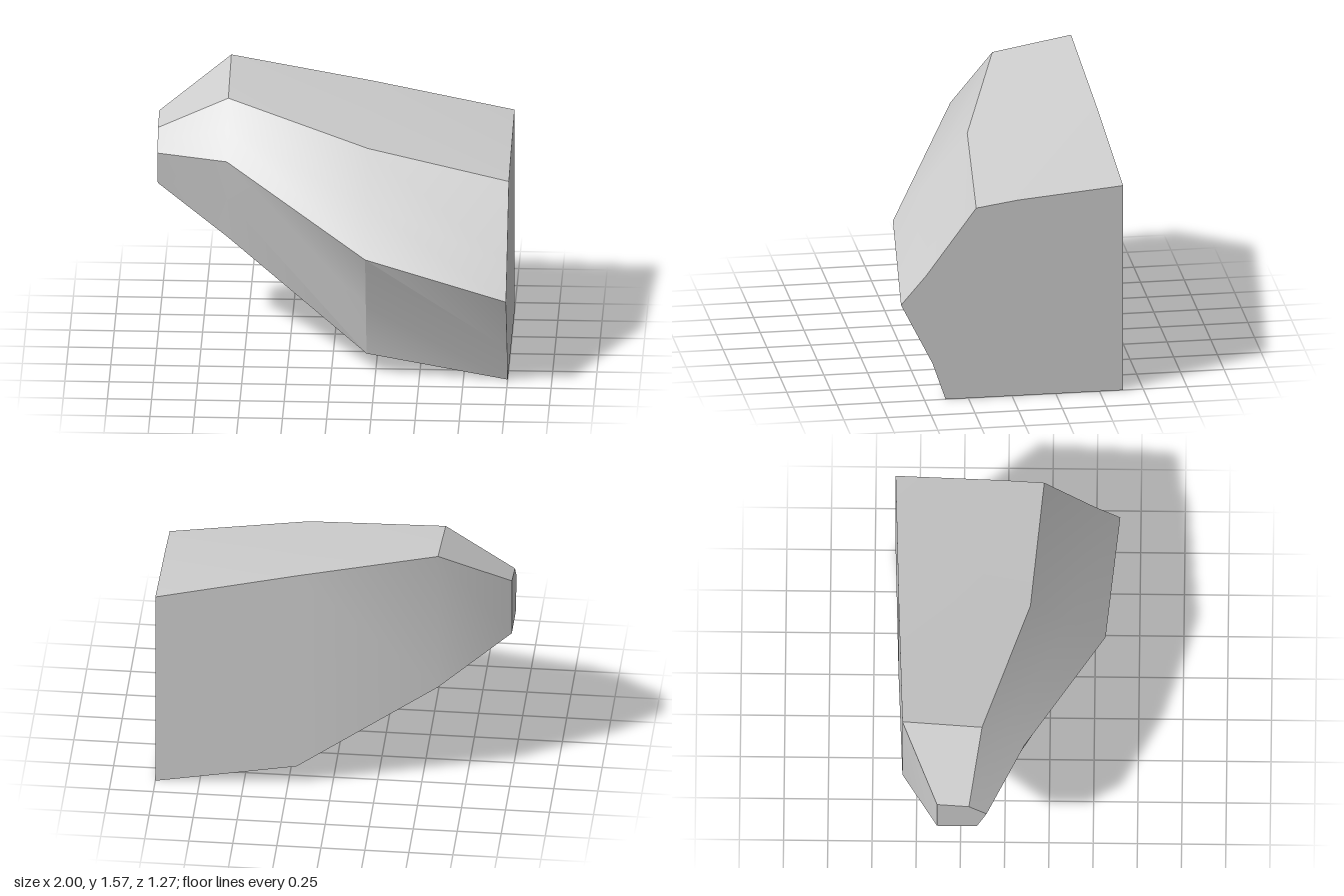
import * as THREE from 'three';
import { toCreasedNormals } from 'three/addons/utils/BufferGeometryUtils.js';

// Cross-sections along x; corners [z, y] run: top back, top front, nose, bottom front, bottom back
const sections = [
  { x: 1.0, pts: [[-0.635, 1.23], [0.205, 1.14], [0.635, 0.58], [0.38, 0], [-0.635, 0]] },
  { x: 0.2, pts: [[-0.61, 1.405], [0.135, 1.3], [0.56, 0.795], [0.34, 0.13], [-0.61, 0.13]] },
  { x: -0.6, pts: [[-0.58, 1.565], [-0.13, 1.485], [0.11, 1.195], [0.0, 0.69], [-0.58, 0.69]] },
  { x: -1.0, pts: [[-0.38, 1.3], [-0.2, 1.27], [-0.1, 1.155], [-0.155, 0.95], [-0.38, 0.95]] },
];

// Slightly bent edge midpoints on the wide end
const wideMids = [[-0.03, 1.175], [0.49, 0.75], [0.455, 0.22]];

// Full ring of a section, with a midpoint on each of the first three edges
function ring({ x, pts }, s) {
  const out = [];
  pts.forEach(([z, y], i) => {
    out.push([x, y, z]);
    if (i < 3) {
      const [z2, y2] = pts[i + 1];
      const [mz, my] = s === 0 ? wideMids[i] : [(z + z2) / 2, (y + y2) / 2];
      out.push([x, my, mz]);
    }
  });
  return out;
}

function toGeometry(points, crease) {
  const geo = new THREE.BufferGeometry();
  geo.setAttribute('position', new THREE.Float32BufferAttribute(points.flat(), 3));
  return toCreasedNormals(geo, crease);
}

export function createModel() {
  const group = new THREE.Group();
  group.name = 'facetedBlock';
  const grey = new THREE.MeshStandardMaterial({ color: 0xcccccc });
  grey.name = 'lightGrey';
  const add = (name, points, crease) => {
    const mesh = new THREE.Mesh(toGeometry(points, crease), grey);
    mesh.name = name;
    group.add(mesh);
  };

  const rings = sections.map(ring);
  const n = rings[0].length;

  // Long sides: one band per face, smooth along its length
  const bands = { topFace: [0, 2], upperFrontFace: [2, 4], lowerFrontFace: [4, 6], bottomFace: [6, 7], backFace: [7, 8] };
  for (const [name, [from, to]] of Object.entries(bands)) {
    const points = [];
    for (let s = 0; s < rings.length - 1; s++) {
      for (let j = from; j < to; j++) {
        const k = (j + 1) % n;
        const a = rings[s], b = rings[s + 1];
        points.push(a[j], b[j], a[k], b[j], b[k], a[k]);
      }
    }
    add(name, points, 0.45);
  }

  // Flat ends, fanned from the bottom back corner
  const wide = [], narrow = [];
  const last = rings[rings.length - 1];
  for (let j = 0; j < n - 2; j++) {
    wide.push(rings[0][n - 1], rings[0][j], rings[0][j + 1]);
    narrow.push(last[n - 1], last[j + 1], last[j]);
  }
  add('wideEnd', wide, 0.1);
  add('narrowEnd', narrow, 0.1);
  return group;
}
